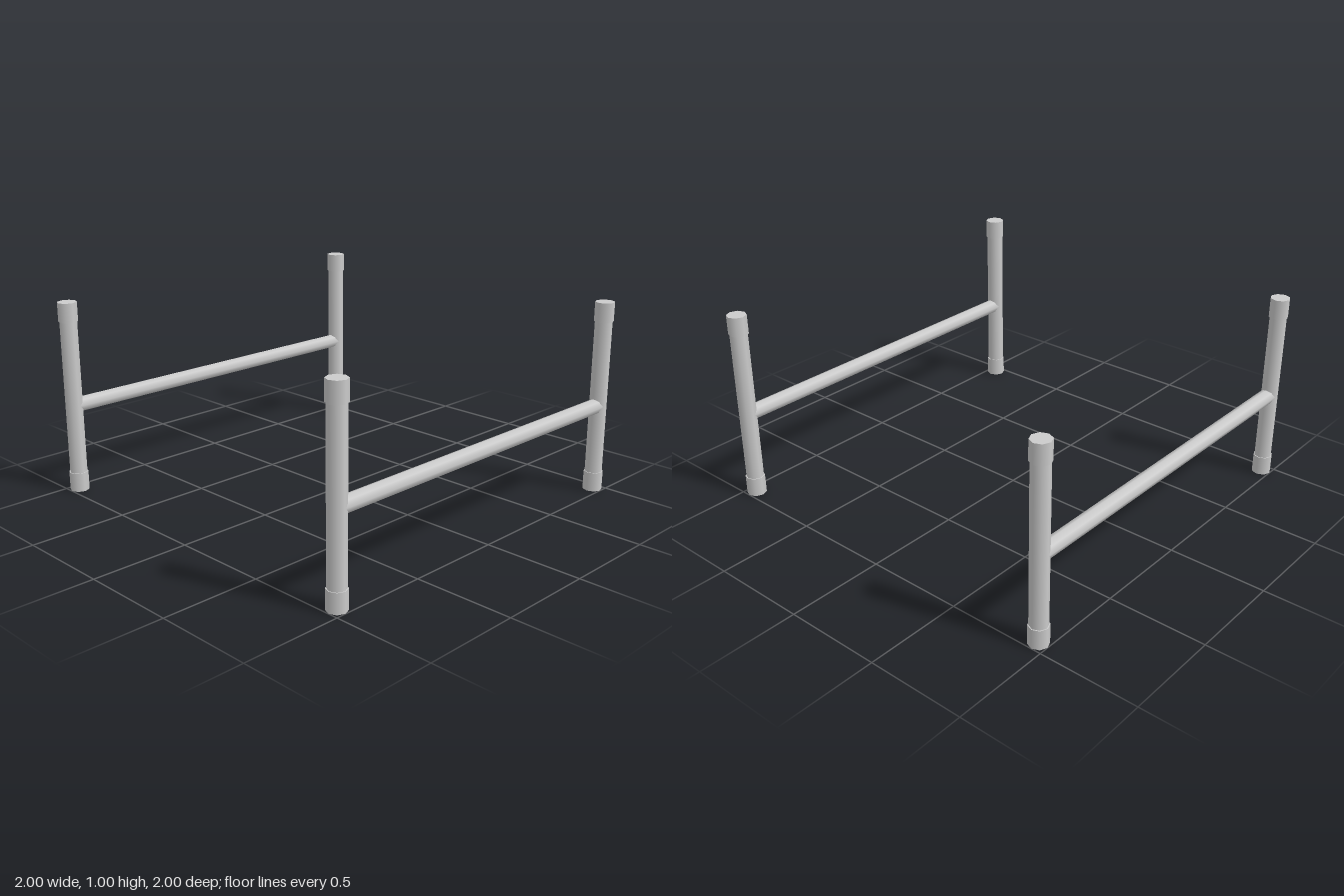
import * as THREE from 'three';

const material = new THREE.MeshStandardMaterial({ color: 0xcccccc });

// Upright eight-sided tube centred at the given height
function tube(name, radius, length, y) {
  const mesh = new THREE.Mesh(new THREE.CylinderGeometry(radius, radius, length, 8), material);
  mesh.name = name;
  mesh.position.y = y;
  return mesh;
}

// Post with a slightly wider sleeve at each end
function makePost(name) {
  const post = new THREE.Group();
  post.name = name;
  post.add(
    tube('postShaft', 0.045, 0.82, 0.5),
    tube('footSleeve', 0.05, 0.1, 0.05),
    tube('topSleeve', 0.05, 0.1, 0.95)
  );
  return post;
}

export function createModel() {
  const model = new THREE.Group();
  model.name = 'railFrames';

  // Two mirrored H-shaped frames, each of two posts and a crossbar
  for (const side of [-1, 1]) {
    const frame = new THREE.Group();
    frame.name = side > 0 ? 'leftFrame' : 'rightFrame';
    frame.position.x = side * 0.95;
    for (const end of [-1, 1]) {
      const post = makePost(end > 0 ? 'frontPost' : 'backPost');
      post.position.z = end * 0.95;
      frame.add(post);
    }
    const bar = tube('crossbar', 0.04, 1.9, 0.458);
    bar.rotation.x = Math.PI / 2;
    frame.add(bar);
    model.add(frame);
  }
  return model;
}
